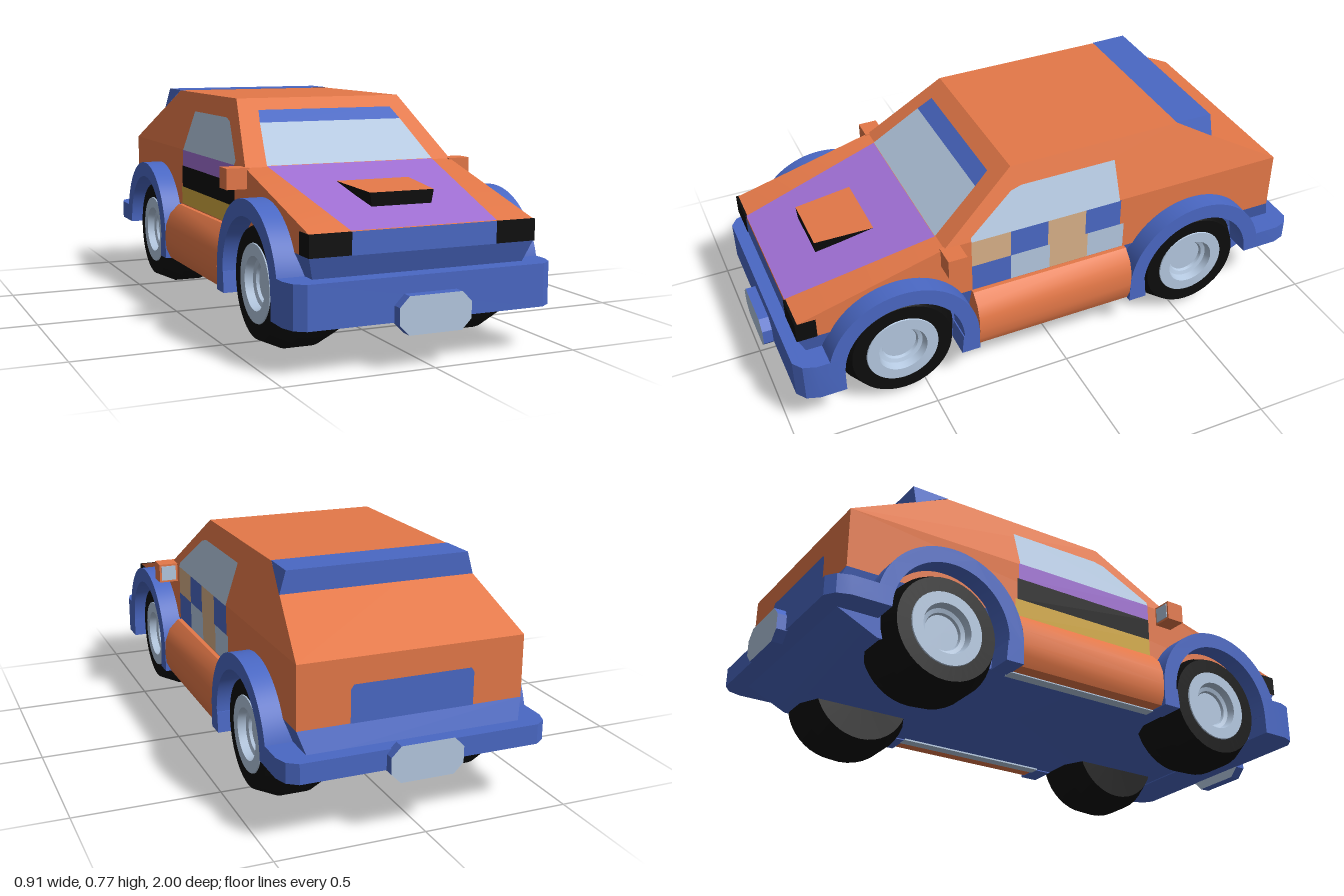
import * as THREE from 'three';
import { toCreasedNormals } from 'three/addons/utils/BufferGeometryUtils.js';

const paint = (name, color) => {
  const m = new THREE.MeshStandardMaterial({ color, side: THREE.DoubleSide });
  m.name = name;
  return m;
};

export function createModel() {
  const car = new THREE.Group();
  car.name = 'car';
  const orange = paint('orange paint', 0xe47848);
  const blue = paint('blue paint', 0x4a68c4);
  const purple = paint('purple paint', 0xa070d4);
  const grey = paint('pale grey blue', 0xb4c8e0);
  const tan = paint('tan paint', 0xd8b088);
  const yellow = paint('yellow paint', 0xd4aa40);
  const black = paint('black', 0x0c0c0c);

  const add = (name, geo, mat) => {
    const m = new THREE.Mesh(geo, mat);
    m.name = name;
    car.add(m);
    return m;
  };
  const mirror = (mesh) => {
    const m = mesh.clone();
    m.scale.x = -1;
    car.add(m);
  };
  const shapeOf = (pts) => new THREE.Shape(pts.map(([a, b]) => new THREE.Vector2(a, b)));
  const extrude = (shape, depth) => toCreasedNormals(
    new THREE.ExtrudeGeometry(shape, { depth, bevelEnabled: false, curveSegments: 20 }), 0.5);
  // side outline in (z, y), extruded from x0 to x1
  const acrossX = (shape, x0, x1) => extrude(shape, x1 - x0).rotateY(-Math.PI / 2).translate(x1, 0, 0);
  // flat convex faces, each a list of corners
  const faces = (...polys) => {
    const pos = [];
    for (const p of polys)
      for (let i = 1; i < p.length - 1; i++) pos.push(...p[0], ...p[i], ...p[i + 1]);
    const g = new THREE.BufferGeometry();
    g.setAttribute('position', new THREE.Float32BufferAttribute(pos, 3));
    g.computeVertexNormals();
    return g;
  };
  // box whose top and bottom rectangles differ: [halfWidth, zBack, zFront]
  const taperedBox = (y0, y1, bottom, top) => {
    const g = new THREE.BoxGeometry(2, 2, 2).toNonIndexed();
    const p = g.attributes.position;
    for (let i = 0; i < p.count; i++) {
      const up = p.getY(i) > 0;
      const [w, zb, zf] = up ? top : bottom;
      p.setXYZ(i, p.getX(i) * w, up ? y1 : y0, p.getZ(i) > 0 ? zf : zb);
    }
    g.computeVertexNormals();
    return g;
  };

  // body shell
  add('lowerBody', acrossX(shapeOf([[0.93, 0.35], [0.93, 0.42], [0.41, 0.56], [-0.89, 0.56], [-0.89, 0.35]]), -0.385, 0.385), orange);
  add('cabin', taperedBox(0.56, 0.772, [0.385, -0.89, 0.41], [0.315, -0.5, 0.14]), orange);
  add('skirt', taperedBox(0.27, 0.35, [0.36, -0.92, 0.9], [0.385, -0.89, 0.93]), blue);
  add('chassis', acrossX(shapeOf([[0.9, 0.147], [0.9, 0.28], [-0.9, 0.28], [-0.9, 0.215], [-0.76, 0.147]]), -0.36, 0.36), blue);

  // surface rules for painted panels, lifted slightly off the body
  const e = 0.004;
  const sideX = (y) => 0.385 + e - Math.max(0, y - 0.56) / 3;
  const shieldZ = (y) => 0.41 - (y - 0.56) * 1.275 + e;
  const hoodY = (z) => 0.42 + (0.93 - z) * 0.27 + e;
  const shieldBand = (y0, y1, w0, w1) => faces([
    [-w0, y0 + e, shieldZ(y0)], [w0, y0 + e, shieldZ(y0)], [w1, y1 + e, shieldZ(y1)], [-w1, y1 + e, shieldZ(y1)]]);
  add('windshield', shieldBand(0.56, 0.69, 0.31, 0.27), grey);
  add('sunStrip', shieldBand(0.69, 0.73, 0.27, 0.255), blue);
  add('hoodPanel', faces([[-0.25, hoodY(0.93), 0.93], [0.25, hoodY(0.93), 0.93], [0.31, hoodY(0.415), 0.415], [-0.31, hoodY(0.415), 0.415]]), purple);
  add('frontPanel', faces([[-0.25, 0.35, 0.933], [0.25, 0.35, 0.933], [0.25, 0.422, 0.933], [-0.25, 0.422, 0.933]]), blue);
  add('rearPanel', faces([[0.21, 0.35, -0.893], [-0.21, 0.35, -0.893], [-0.21, 0.46, -0.893], [-0.2, 0.475, -0.893], [0.2, 0.475, -0.893], [0.21, 0.46, -0.893]]), blue);

  // side panels: corners in (z, y), s is the side
  const sidePanel = (name, s, mat, pts) => {
    const p = pts.map(([z, y]) => [s * sideX(y), y, z]);
    add(name, faces(s > 0 ? p : p.reverse()), mat);
  };
  const sideRect = (name, s, mat, zf, zb, y0, y1) =>
    sidePanel(name, s, mat, [[zf, y0], [zb, y0], [zb, y1], [zf, y1]]);
  for (const s of [-1, 1])
    sidePanel('sideWindow', s, grey, [[0.315, 0.56], [-0.247, 0.56], [-0.243, 0.705], [0.11, 0.705], [0.15, 0.695], [0.315, 0.575]]);

  // checkered door on the left side
  const rows = [
    [0.457, 0.562, [0.315, 0.17, 0.03, -0.115, -0.252], [tan, blue, tan, blue]],
    [0.355, 0.457, [0.315, 0.17, 0.022, -0.125, -0.268], [blue, grey, tan, grey]],
  ];
  for (const [y0, y1, z, mats] of rows)
    mats.forEach((m, i) => sideRect('doorCheck', 1, m, z[i], z[i + 1], y0, y1));

  // striped door on the right side
  sideRect('doorStripeTop', -1, purple, 0.315, -0.252, 0.5, 0.56);
  sideRect('doorStripeMiddle', -1, black, 0.315, -0.258, 0.42, 0.5);
  sideRect('doorStripeBottom', -1, yellow, 0.315, -0.266, 0.355, 0.42);

  // headlights, wrapping round the front corners
  const lamp = add('headlight', new THREE.BoxGeometry(0.139, 0.07, 0.07).translate(0.3185, 0.386, 0.9), black);
  mirror(lamp);

  // hood scoop with a black mouth and cheeks
  const scoop = (s) => ({ back: [s * 0.132, 0.524, 0.572], top: [s * 0.112, 0.51, 0.778], foot: [s * 0.105, 0.463, 0.775] });
  const L = scoop(1), R = scoop(-1);
  add('scoopTop', faces([R.top, L.top, L.back, R.back]), orange);
  add('scoopMouth', faces([R.foot, L.foot, L.top, R.top], [L.foot, L.back, L.top], [R.foot, R.top, R.back]), black);

  // rear spoiler wedge over the tailgate
  const sp = (s) => [[s * 0.315, 0.774, -0.5], [s * 0.318, 0.774, -0.635], [s * 0.34, 0.697, -0.635]];
  const [a, b, c] = sp(1), [d, f, g] = sp(-1);
  add('spoiler', faces([d, a, b, f], [b, c, g, f], [a, c, b], [d, f, g]), blue);

  // bumpers with cut corners, outline in (x, z)
  const bumper = (name, s, zIn, zOut, y0, y1) => {
    const half = [[0.455, zIn], [0.455, zOut - 0.07], [0.44, zOut - 0.025], [0.405, zOut]];
    const pts = [...half, ...half.map(([x, z]) => [-x, z]).reverse()].map(([x, z]) => [x, s * z]);
    add(name, extrude(shapeOf(pts), y1 - y0).rotateX(Math.PI / 2).translate(0, y1, 0), blue);
  };
  bumper('frontBumper', 1, 0.803, 0.965, 0.143, 0.282);
  bumper('rearBumper', -1, 0.76, 0.968, 0.215, 0.282);

  // eight-sided plates with a blue rim
  const octagon = shapeOf([[-0.123, -0.027], [-0.09, -0.06], [0.09, -0.06], [0.123, -0.027],
    [0.123, 0.027], [0.09, 0.06], [-0.09, 0.06], [-0.123, 0.027]]);
  for (const [name, y, z] of [['frontPlate', 0.168, 0.962], ['rearPlate', 0.24, -1]])
    add(name, new THREE.ExtrudeGeometry(octagon, { depth: 0.038, bevelEnabled: false }).translate(0, y, z), [grey, blue]);

  // wheel arches, with a leg down to the sill; dir points from wheel to sill
  const arch = (zc, dir) => {
    const ring = new THREE.Shape();
    ring.absarc(0, 0, 0.27, 0, Math.PI, false);
    ring.lineTo(-0.214, 0);
    ring.absarc(0, 0, 0.214, Math.PI, 0, true);
    ring.closePath();
    const leg = shapeOf([[0.21, 0], [0.27, 0], [0.27, -0.072], [0.203, -0.072]].map(([z, y]) => [z * dir, y]));
    for (const [name, shape] of [['wheelArch', ring], ['archLeg', leg]])
      mirror(add(name, acrossX(shape, 0.355, 0.455).translate(0, 0.215, zc), blue));
  };
  arch(0.588, -1);
  arch(-0.546, 1);

  // rounded sills and the strips under them
  const sillShape = shapeOf([[0.35, 0.145], [0.435, 0.145], [0.452, 0.18], [0.455, 0.22], [0.452, 0.27], [0.435, 0.315], [0.4, 0.35], [0.35, 0.35]]);
  mirror(add('sill', extrude(sillShape, 0.595).translate(0, 0, -0.278), orange));
  mirror(add('sillStrip', new THREE.BoxGeometry(0.04, 0.006, 0.6).translate(0.365, 0.144, 0.02), grey));

  // door mirrors
  mirror(add('doorMirror', new THREE.BoxGeometry(0.08, 0.07, 0.068).translate(0.415, 0.527, 0.39), orange));
  mirror(add('mirrorGlass', new THREE.BoxGeometry(0.055, 0.055, 0.004).translate(0.42, 0.527, 0.355), grey));

  // wheels: profiles in (radius, distance along the axle)
  const lathe = (pts) => toCreasedNormals(
    new THREE.LatheGeometry(pts.map(([r, h]) => new THREE.Vector2(r, h)), 40), 0.4)
    .rotateZ(-Math.PI / 2);
  const tyre = lathe([[0, -0.122], [0.18, -0.122], [0.213, -0.048], [0.213, 0.048], [0.18, 0.122], [0.125, 0.122]]);
  const rim = lathe([[0.13, 0.121], [0.128, 0.126], [0.088, 0.126], [0.08, 0.1], [0.066, 0.095], [0.062, 0.085], [0, 0.085]]);
  for (const z of [0.588, -0.546])
    for (const [name, geo, mat] of [['tyre', tyre, black], ['rim', rim, grey]])
      mirror(add(name, geo.clone().translate(0.2975, 0.213, z), mat));

  return car;
}
